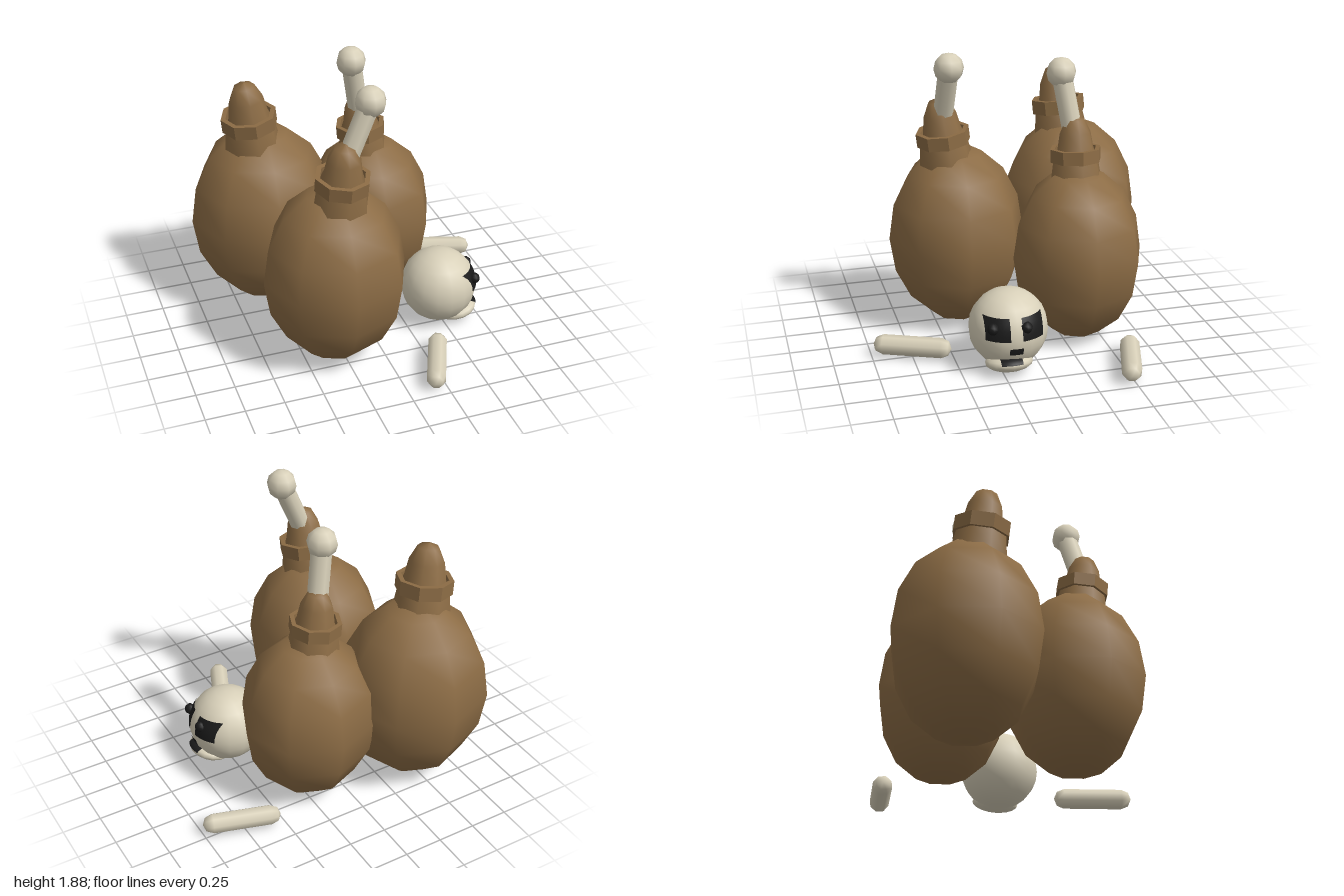
import * as THREE from 'three';
import { toCreasedNormals } from 'three/addons/utils/BufferGeometryUtils.js';

const UP = new THREE.Vector3(0, 1, 0);
const V = (x, y, z) => new THREE.Vector3(x, y, z);

export function createModel() {
  const model = new THREE.Group();
  model.name = 'sacksAndBones';
  const leather = new THREE.MeshStandardMaterial({ name: 'brown leather', color: 0x8c6c45 });
  const bone = new THREE.MeshStandardMaterial({ name: 'pale bone', color: 0xd8d0b9 });
  const black = new THREE.MeshStandardMaterial({ name: 'black', color: 0x1a1a1a });

  const add = (parent, name, geometry, material, position) => {
    const mesh = new THREE.Mesh(geometry, material);
    mesh.name = name;
    if (position) mesh.position.copy(position);
    parent.add(mesh);
    return mesh;
  };
  const lathe = (points) =>
    new THREE.LatheGeometry(points.map(([x, y]) => new THREE.Vector2(x, y)), 8);

  // Sacks: a faceted egg-shaped belly with a leaning tied neck
  function addSack(x, z, r, leanX, leanZ) {
    const sack = new THREE.Group();
    sack.name = 'sack';
    sack.position.set(x, r * 1.3, z);
    sack.scale.setScalar(r);
    model.add(sack);

    add(sack, 'belly', new THREE.SphereGeometry(1, 8, 8), leather).scale.set(1, 1.3, 0.972);

    const top = new THREE.Group();
    top.name = 'tiedNeck';
    top.quaternion.setFromUnitVectors(UP, V(leanX, 1, leanZ).normalize());
    sack.add(top);
    add(top, 'neck', lathe([
      [0.42, 0.85], [0.39, 1.05], [0.335, 1.4], [0.27, 1.57],
      [0.23, 1.8], [0.14, 1.99], [0, 2.04],
    ]), leather);
    const ring = lathe([[0.31, 1.385], [0.376, 1.385], [0.376, 1.575], [0.31, 1.575], [0.31, 1.385]]);
    add(top, 'neckBand', toCreasedNormals(ring, 0.6), leather);
  }
  addSack(-0.513, -0.51, 0.487, -0.115, 0.075);
  addSack(-0.281, 0.335, 0.465, 0.035, 0.125);
  addSack(0.18, -0.36, 0.44, -0.08, 0.01);

  // Knobbed bones poking out of two sacks
  function addKnobbedBone(from, to) {
    const dir = to.clone().sub(from);
    const shaft = add(model, 'boneShaft',
      new THREE.CylinderGeometry(0.066, 0.066, dir.length(), 8), bone,
      from.clone().add(to).multiplyScalar(0.5));
    shaft.quaternion.setFromUnitVectors(UP, dir.normalize());
    add(model, 'boneKnob', new THREE.SphereGeometry(0.097, 8, 6), bone, to);
  }
  addKnobbedBone(V(-0.25, 1.38, 0.425), V(-0.078, 1.778, 0.412));
  addKnobbedBone(V(0.115, 1.32, -0.345), V(0.04, 1.735, -0.28));

  // Loose bones lying on the ground
  function addLooseBone(position, dx, dz) {
    const mesh = add(model, 'looseBone',
      new THREE.CapsuleGeometry(0.064, Math.hypot(dx, dz), 2, 8), bone, position);
    mesh.quaternion.setFromUnitVectors(UP, V(dx, 0, dz).normalize());
  }
  addLooseBone(V(0.255, 0.075, 0.75), -0.15, 0.345);
  addLooseBone(V(0.762, 0.075, -0.532), 0.35, 0.11);

  // Thin patch following the +x side of an ellipsoid, from z and y ranges
  function patch(rx, ry, rz, z0, z1, y0, y1) {
    const geo = new THREE.PlaneGeometry(1, 1, 6, 4);
    const p = geo.attributes.position;
    for (let i = 0; i < p.count; i++) {
      const z = THREE.MathUtils.lerp(z1, z0, p.getX(i) + 0.5);
      const y = THREE.MathUtils.lerp(y0, y1, p.getY(i) + 0.5);
      const x = rx * Math.sqrt(Math.max(0, 1 - (z / rz) ** 2 - (y / ry) ** 2));
      p.setXYZ(i, x + 0.003, y, z);
    }
    geo.computeVertexNormals();
    return geo;
  }

  // Skull facing +x
  const skull = new THREE.Group();
  skull.name = 'skull';
  skull.position.set(0.49, 0.257, 0.185);
  model.add(skull);
  const R = 0.25;
  add(skull, 'cranium', new THREE.SphereGeometry(R, 16, 12), bone);
  for (const [z0, z1] of [[0.045, 0.185], [-0.175, -0.03]])
    add(skull, 'eyeSocket', patch(R, R, R, z0, z1, 0.005, 0.143), black);
  add(skull, 'nose', patch(R, R, R, -0.035, 0.05, -0.087, -0.042), black);
  for (const [x, z] of [[0.195, 0.145], [0.222, -0.06]])
    add(skull, 'eye', new THREE.SphereGeometry(0.037, 8, 6), black, V(x, 0.083, z));

  // Jaw jutting forward, with the mouth on its upper front
  const jaw = new THREE.Group();
  jaw.name = 'jaw';
  jaw.position.set(0.115, -0.185, 0.025);
  jaw.rotation.z = 0.22;
  skull.add(jaw);
  add(jaw, 'jawBone', new THREE.SphereGeometry(1, 16, 10), bone).scale.set(0.142, 0.06, 0.15);
  add(jaw, 'mouth', patch(0.142, 0.06, 0.15, -0.06, 0.075, 0.004, 0.04), black);

  return model;
}
